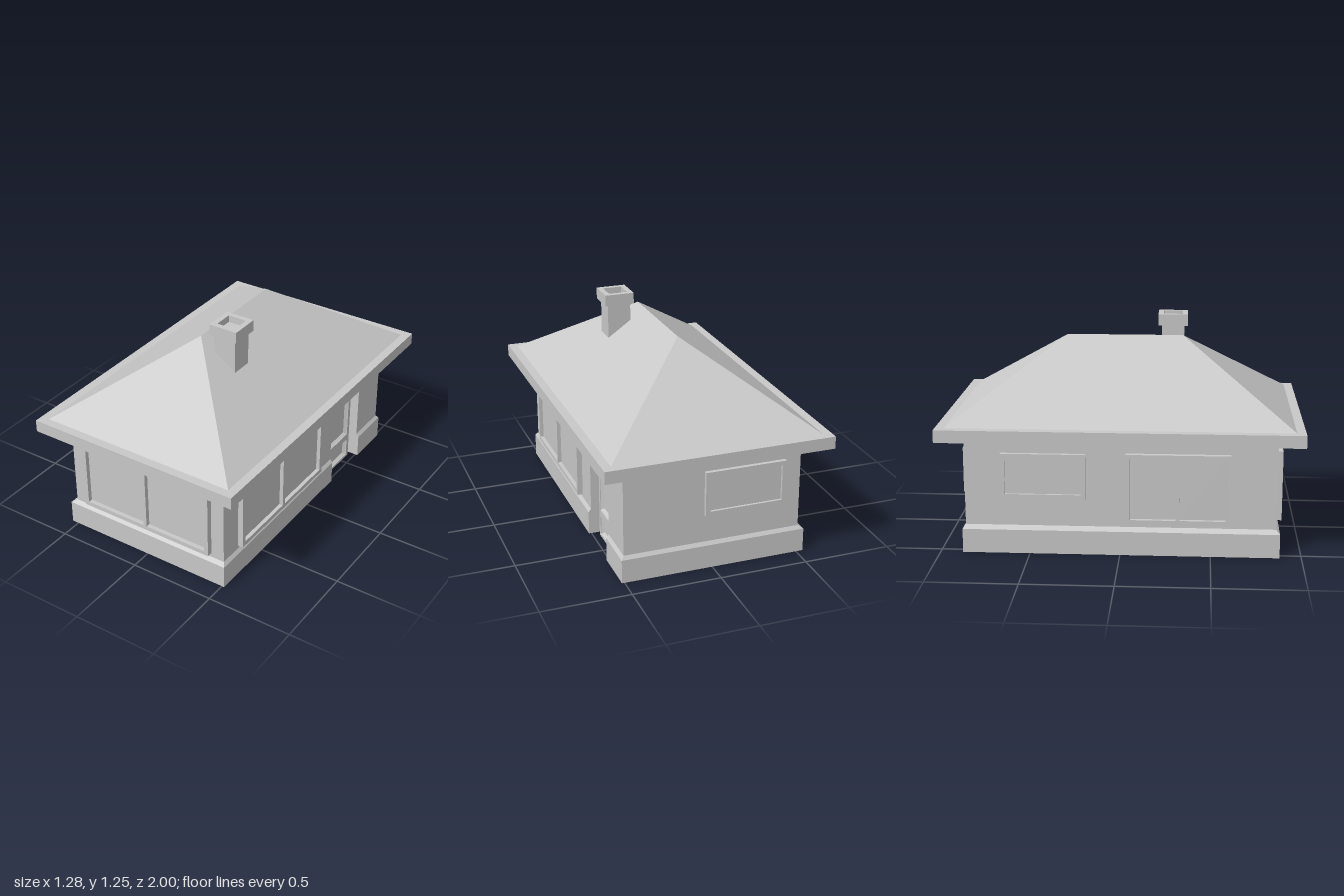
import * as THREE from 'three';

const grey = new THREE.MeshStandardMaterial({ color: 0xc8c8c8, side: THREE.DoubleSide });
grey.name = 'plain grey';

function mesh(name, geometry) {
  const m = new THREE.Mesh(geometry, grey);
  m.name = name;
  return m;
}

// Flat-faced skin through matching closed loops of [x, y, z] points
function loft(loops) {
  const pos = [];
  for (let i = 0; i + 1 < loops.length; i++) {
    const lo = loops[i], hi = loops[i + 1], n = lo.length;
    for (let j = 0; j < n; j++) {
      const k = (j + 1) % n;
      pos.push(...lo[j], ...lo[k], ...hi[k], ...lo[j], ...hi[k], ...hi[j]);
    }
  }
  const g = new THREE.BufferGeometry();
  g.setAttribute('position', new THREE.Float32BufferAttribute(pos, 3));
  g.computeVertexNormals();
  return g;
}

// Level rectangle, counter-clockwise from above
const rect = (x0, x1, z0, z1, y) => [[x1, y, z1], [x1, y, z0], [x0, y, z0], [x0, y, z1]];

// Upright rectangle facing +z
const panelRect = ([u0, u1, v0, v1], z) => [[u0, v0, z], [u1, v0, z], [u1, v1, z], [u0, v1, z]];

function trace(path, [u0, u1, v0, v1]) {
  path.moveTo(u0, v0);
  path.lineTo(u1, v0);
  path.lineTo(u1, v1);
  path.lineTo(u0, v1);
  path.closePath();
  return path;
}

// Frame with openings, each filled by a thin recessed pane
function framed(name, outer, openings, depth, bevel = 0) {
  const group = new THREE.Group();
  group.name = name;
  const shape = trace(new THREE.Shape(), outer);
  for (const o of openings) shape.holes.push(trace(new THREE.Path(), o));
  group.add(mesh(name + 'Frame', new THREE.ExtrudeGeometry(shape, { depth, bevelEnabled: false })));
  for (const [u0, u1, v0, v1] of openings) {
    const pane = mesh(name + 'Pane', new THREE.PlaneGeometry(u1 - u0, v1 - v0));
    pane.position.set((u0 + u1) / 2, (v0 + v1) / 2, 0.008);
    group.add(pane);
    if (bevel) {
      const inner = [u0 + bevel, u1 - bevel, v0 + bevel, v1 - bevel * 1.6];
      group.add(mesh(name + 'Moulding',
        loft([panelRect([u0, u1, v0, v1], depth - 0.004), panelRect(inner, 0.009)])));
    }
  }
  return group;
}

// Window with one or two panes
function windowUnit(name, [u0, u1, v0, v1], panes, depth) {
  const b = 0.025, half = 0.011, mid = (u0 + u1) / 2;
  const openings = panes === 1
    ? [[u0 + b, u1 - b, v0 + b, v1 - b]]
    : [[u0 + b, mid - half, v0 + b, v1 - b], [mid + half, u1 - b, v0 + b, v1 - b]];
  return framed(name, [u0, u1, v0, v1], openings, depth);
}

export function createModel() {
  const house = new THREE.Group();
  house.name = 'house';

  // Walls and plinth: open shell with a doorway recess on the +x side
  const recess = 0.43, doorNear = -0.285, doorFar = -0.61;
  const footprint = (x0, x1, z0, z1, y) => [
    [x1, y, z1], [x1, y, doorNear], [recess, y, doorNear], [recess, y, doorFar],
    [x1, y, doorFar], [x1, y, z0], [x0, y, z0], [x0, y, z1],
  ];
  const plinthTop = footprint(-0.54, 0.515, -0.875, 0.88, 0.135);
  const wallBase = footprint(-0.51, 0.5, -0.86, 0.86, 0.155);
  house.add(mesh('plinth', loft([footprint(-0.54, 0.515, -0.875, 0.88, 0), plinthTop, wallBase])));
  house.add(mesh('walls', loft([wallBase, footprint(-0.51, 0.5, -0.86, 0.86, 0.655)])));

  const porch = mesh('doorwayCeiling', new THREE.BoxGeometry(0.07, 0.004, 0.325));
  porch.position.set(0.465, 0.657, -0.4475);
  house.add(porch);

  // Eaves: soffit, fascia and narrow flat top
  const roofBase = rect(-0.59, 0.59, -0.95, 0.95, 0.725);
  house.add(mesh('eaves', loft([
    rect(-0.51, 0.5, -0.86, 0.86, 0.655),
    rect(-0.64, 0.64, -1, 1, 0.655),
    rect(-0.64, 0.64, -1, 1, 0.725),
    roofBase,
  ])));

  // Hipped roof
  house.add(mesh('roof', loft([roofBase, rect(0, 0, -0.33, 0.33, 1.14)])));

  // Chimney: stack cut to the roof slope, and a hollow cap
  const stackTop = rect(0.09, 0.225, 0.205, 0.335, 1.18);
  const stackFoot = stackTop.map(([x, , z]) => [x, 1.14 - x * 0.703, z]);
  house.add(mesh('chimneyStack', loft([stackFoot, stackTop])));
  house.add(mesh('chimneyCap', loft([
    stackTop,
    rect(0.075, 0.245, 0.185, 0.355, 1.18),
    rect(0.075, 0.245, 0.185, 0.355, 1.245),
    rect(0.105, 0.215, 0.215, 0.325, 1.245),
    rect(0.105, 0.215, 0.215, 0.325, 1.205),
    rect(0.16, 0.16, 0.27, 0.27, 1.205),
  ])));

  // Windows and door, drawn facing +z and turned onto their walls
  const mount = (part, x, z, turn) => {
    part.position.set(x, 0, z);
    part.rotation.y = turn;
    house.add(part);
  };
  const q = Math.PI / 2;
  mount(windowUnit('frontWindow', [-0.42, 0.42, 0.18, 0.577], 2, 0.033), 0, 0.86, 0);
  mount(windowUnit('rightWindow', [-0.72, 0.125, 0.172, 0.57], 2, 0.03), 0.5, 0, q);
  mount(windowUnit('backWindow', [-0.045, 0.42, 0.315, 0.57], 1, 0.022), 0, -0.86, 2 * q);
  mount(windowUnit('leftLargeWindow', [0.03, 0.605, 0.18, 0.577], 2, 0.03), -0.51, 0, -q);
  mount(windowUnit('leftSmallWindow', [-0.66, -0.19, 0.315, 0.57], 1, 0.022), -0.51, 0, -q);
  mount(framed('door', [0.315, 0.585, 0, 0.575],
    [[0.335, 0.56, 0.165, 0.54], [0.335, 0.56, 0.013, 0.125]], 0.03, 0.012), recess, 0, q);

  return house;
}
